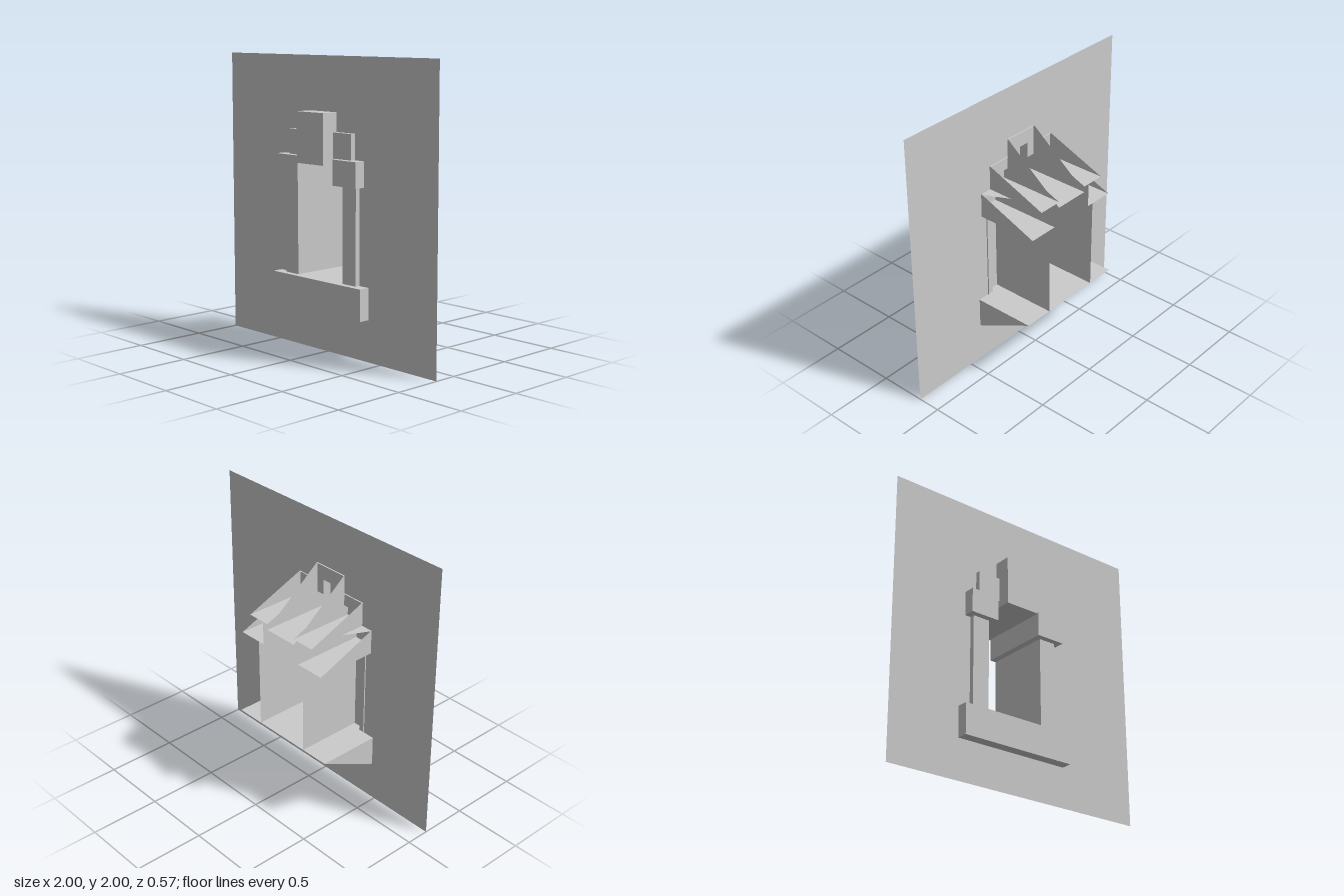
import * as THREE from 'three';

const material = new THREE.MeshStandardMaterial({ color: 0xcccccc, side: THREE.DoubleSide, flatShading: true });
const CENTRE = -0.037; // x of the window's axis
const BACK = -0.284;   // rear edge of the reveals
const SEAT = 0.154;    // where the stone fronts meet their reveals
const WALL = 0.163;

// Builds one mesh from convex flat panels, each a list of [x, y, z] corners
function shell(name, panels) {
  const points = [];
  for (const p of panels)
    for (let i = 1; i < p.length - 1; i++) points.push(...p[0], ...p[i], ...p[i + 1]);
  const geometry = new THREE.BufferGeometry();
  geometry.setAttribute('position', new THREE.Float32BufferAttribute(points, 3));
  geometry.computeVertexNormals();
  const mesh = new THREE.Mesh(geometry, material);
  mesh.name = name;
  return mesh;
}

// Flat panels: level at height y, upright across x
const level = (x0, x1, y, z0, z1) => [[x0, y, z1], [x1, y, z1], [x1, y, z0], [x0, y, z0]];
const upright = (x, y0, y1, z0, z1) => [[x, y0, z1], [x, y0, z0], [x, y1, z0], [x, y1, z1]];
// Triangular cheek, tall at the wall and tapering to height yTip at the rear
const cheek = (x, yTip, yTall) => [[x, yTip, SEAT], [x, yTall, SEAT], [x, yTip, BACK]];

// Front of a stone: a box that is open behind
function front(x0, x1, y0, y1, z) {
  return [
    [[x0, y0, z], [x1, y0, z], [x1, y1, z], [x0, y1, z]],
    upright(x0, y0, y1, SEAT, z), upright(x1, y0, y1, SEAT, z),
    level(x0, x1, y0, SEAT, z), level(x0, x1, y1, SEAT, z),
  ];
}

function createWall() {
  const outline = new THREE.Shape([[-1, 0], [1, 0], [1, 2], [-1, 2]].map(p => new THREE.Vector2(...p)));
  // Stepped opening, its edge hidden behind the stones
  const half = [[0.3, 0.39], [0.3, 1.25], [0.22, 1.25], [0.22, 1.41], [0.07, 1.41], [0.07, 1.52]];
  const loop = [...half, ...half.map(([x, y]) => [-x, y]).reverse()];
  outline.holes.push(new THREE.Path(loop.map(([x, y]) => new THREE.Vector2(CENTRE + x, y))));
  const wall = new THREE.Mesh(new THREE.ShapeGeometry(outline), material);
  wall.name = 'wall';
  wall.position.z = WALL;
  return wall;
}

export function createModel() {
  const model = new THREE.Group();
  model.name = 'windowInWall';
  model.add(createWall());

  const surround = new THREE.Group();
  surround.name = 'stoneSurround';
  surround.position.x = CENTRE;
  model.add(surround);

  // Sill with a deep ledge and tapering ends
  surround.add(shell('sill', [
    ...front(-0.433, 0.433, 0.285, 0.5, 0.24),
    level(-0.433, 0.433, 0.5, BACK, SEAT),
    cheek(-0.433, 0.5, 0.285), cheek(0.433, 0.5, 0.285),
  ]));

  for (const [side, s] of [['left', 1], ['right', -1]]) {
    // Jamb with a deep inner reveal
    surround.add(shell(side + 'Jamb', [
      ...front(s * 0.22, s * 0.347, 0.5, 1.155, 0.197),
      upright(s * 0.22, 0.5, 1.155, BACK, SEAT),
    ]));

    // Springer block on top of the jamb
    surround.add(shell(side + 'Springer', [
      ...front(s * 0.173, s * 0.39, 1.155, 1.327, 0.24),
      upright(s * 0.173, 1.155, 1.327, BACK, SEAT),
      level(s * 0.173, s * 0.39, 1.155, BACK, SEAT),
      cheek(s * 0.39, 1.155, 1.327),
      [[s * 0.173, 1.327, SEAT], [s * 0.39, 1.327, SEAT], [s * 0.173, 1.327, BACK]],
    ]));

    // Stone beside the keystone
    surround.add(shell(side + 'ArchStone', [
      ...front(s * 0.13, s * 0.303, 1.327, 1.5, 0.197),
      level(s * 0.13, s * 0.303, 1.327, BACK, SEAT),
      cheek(s * 0.13, 1.327, 1.5), cheek(s * 0.303, 1.327, 1.5),
    ]));
  }

  // Keystone
  surround.add(shell('keystone', [
    ...front(-0.13, 0.13, 1.285, 1.63, 0.284),
    level(-0.13, 0.13, 1.285, BACK, SEAT),
    cheek(-0.13, 1.285, 1.63), cheek(0.13, 1.285, 1.63),
  ]));
  return model;
}
